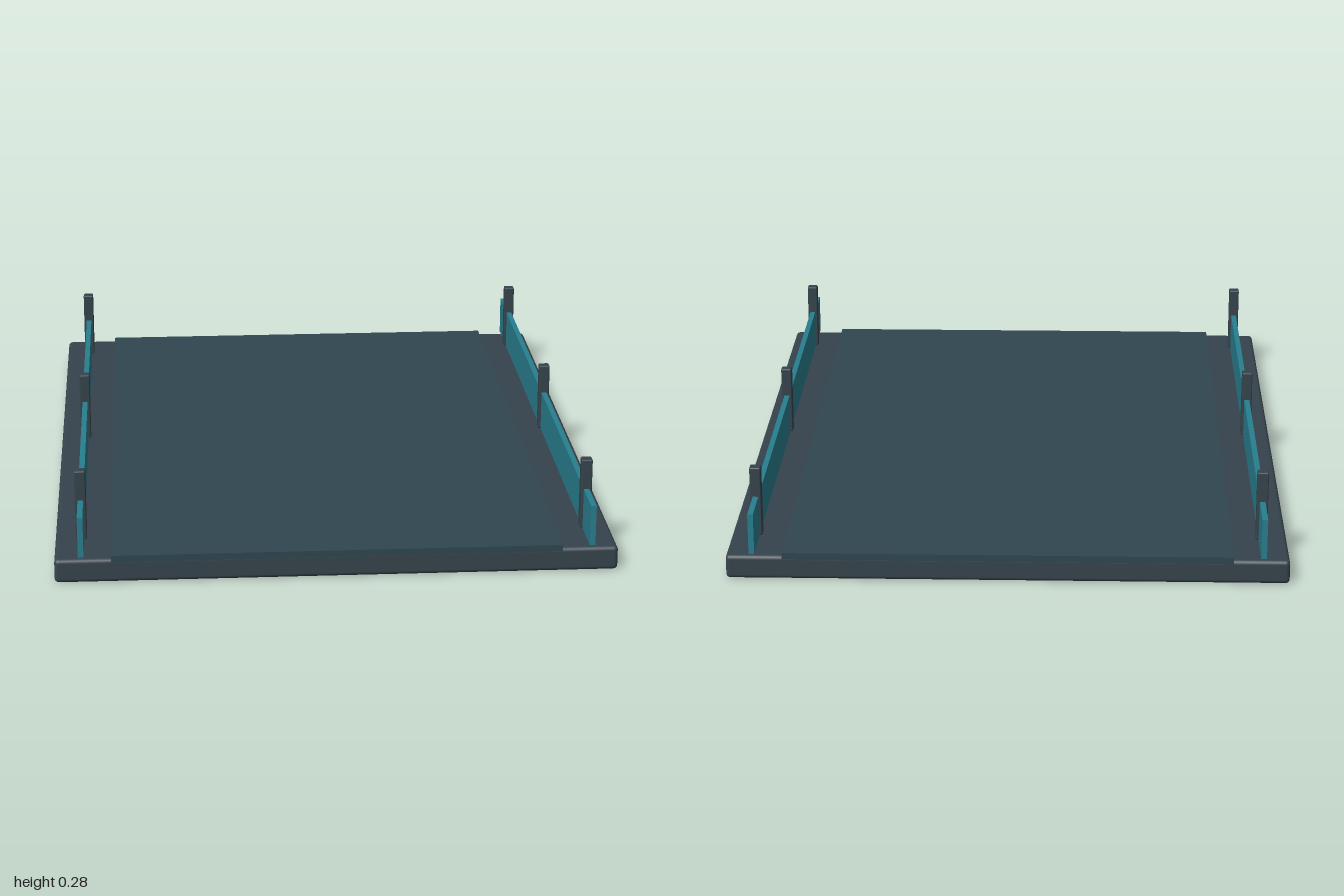
import * as THREE from 'three';
import { RoundedBoxGeometry } from 'three/addons/geometries/RoundedBoxGeometry.js';

const frameMat = new THREE.MeshStandardMaterial({ color: 0x36434c });
const deckMat = new THREE.MeshStandardMaterial({ color: 0x2f4650 });
const panelMat = new THREE.MeshStandardMaterial({ color: 0x287f8f });

// Box resting on height y, with optional rounded edges
function block(name, material, [w, h, d], [x, y, z], radius = 0) {
  const geometry = radius
    ? new RoundedBoxGeometry(w, h, d, 3, radius)
    : new THREE.BoxGeometry(w, h, d);
  const mesh = new THREE.Mesh(geometry, material);
  mesh.name = name;
  mesh.position.set(x, y + h / 2, z);
  return mesh;
}

export function createModel() {
  const model = new THREE.Group();
  model.name = 'deckSection';

  // Slab with a thin raised walkway on top
  model.add(block('baseSlab', frameMat, [1.6, 0.07, 2], [0, 0, 0], 0.012));
  model.add(block('walkway', deckMat, [1.28, 0.02, 2], [0, 0.06, 0]));

  // One railing per side: a long panel and three posts
  for (const side of [-1, 1]) {
    const railing = new THREE.Group();
    railing.name = side > 0 ? 'leftRailing' : 'rightRailing';
    const x = side * 0.725;
    railing.add(block('railPanel', panelMat, [0.016, 0.12, 2], [x, 0.077, 0]));
    for (const z of [-0.85, 0, 0.85]) {
      railing.add(block('railPost', frameMat, [0.032, 0.208, 0.032], [x, 0.077, z], 0.004));
    }
    model.add(railing);
  }
  return model;
}
